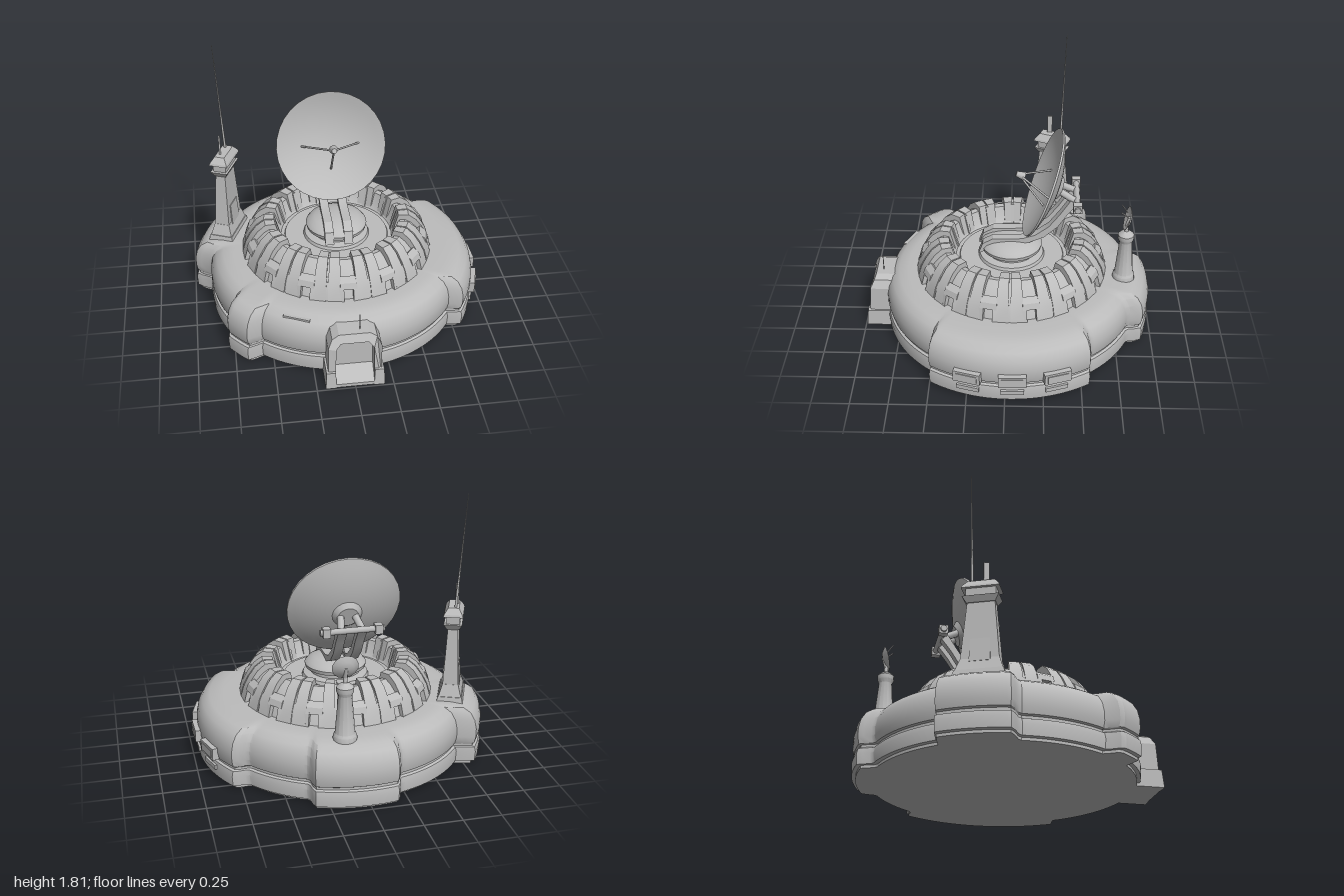
import * as THREE from 'three';
import { toCreasedNormals } from 'three/addons/utils/BufferGeometryUtils.js';

const grey = new THREE.MeshStandardMaterial({ color: 0xbcbcbc, side: THREE.DoubleSide });
grey.name = 'concrete grey';
const rad = THREE.MathUtils.degToRad;
const v2 = (pts) => pts.map(([x, y]) => new THREE.Vector2(x, y));

function add(parent, name, geometry, x = 0, y = 0, z = 0, ry = 0) {
  const m = new THREE.Mesh(geometry, grey);
  m.name = name;
  m.position.set(x, y, z);
  m.rotation.y = ry;
  parent.add(m);
  return m;
}

function addGroup(parent, name, x, y, z) {
  const g = new THREE.Group();
  g.name = name;
  g.position.set(x, y, z);
  parent.add(g);
  return g;
}

// Move every vertex of a geometry by a rule
function warp(geometry, rule) {
  const p = geometry.attributes.position, v = new THREE.Vector3();
  for (let i = 0; i < p.count; i++) {
    rule(v.fromBufferAttribute(p, i));
    p.setXYZ(i, v.x, v.y, v.z);
  }
  geometry.computeVertexNormals();
  return geometry;
}

// Box standing on y = 0 that narrows towards the top
function taperBox(w0, d0, w1, d1, h) {
  return toCreasedNormals(warp(new THREE.BoxGeometry(1, h, 1).translate(0, h / 2, 0), (v) => {
    const t = v.y / h;
    v.x *= w0 + (w1 - w0) * t;
    v.z *= d0 + (d1 - d0) * t;
  }), 0.5);
}

// Outline in the xy plane, extruded along z and centred
function slab(pts, depth) {
  return new THREE.ExtrudeGeometry(new THREE.Shape(v2(pts)), { depth, bevelEnabled: false })
    .translate(0, 0, -depth / 2);
}

function rod(parent, name, a, b, r0, r1 = r0) {
  const from = new THREE.Vector3(...a), to = new THREE.Vector3(...b);
  const dir = to.clone().sub(from);
  const m = add(parent, name, new THREE.CylinderGeometry(r1, r0, dir.length(), 8));
  m.position.copy(from).add(to).multiplyScalar(0.5);
  m.quaternion.setFromUnitVectors(new THREE.Vector3(0, 1, 0), dir.normalize());
}

const lathe = (pts, n, crease = 0.6) => toCreasedNormals(new THREE.LatheGeometry(v2(pts), n), crease);

// Outer ring: angle 0 is the front, 90 the model's left; bulges are [from, to, offset]
const bulges = [[55.5, 125, 0.085], [157, 192.5, 0.085], [234, 263, 0.118], [303.5, 318, 0.095]];
function bulgeAt(deg) {
  let o = 0;
  for (const [a, b, size] of bulges) {
    const t = Math.min(deg - a, b - deg) / 3 + 0.5;
    o = Math.max(o, size * THREE.MathUtils.clamp(t, 0, 1));
  }
  return o;
}

function buildRing(parent) {
  const g = addGroup(parent, 'ring', 0, 0, -0.028);
  const profile = [[0, 0], [0.85, 0], [0.85, 0.018], [0.875, 0.022], [0.88, 0.09], [0.872, 0.125], [0.855, 0.132],
    [0.855, 0.148], [0.868, 0.156], [0.878, 0.2], [0.878, 0.26], [0.865, 0.32], [0.835, 0.37],
    [0.785, 0.4], [0.72, 0.412], [0.62, 0.41], [0.6, 0.38]];
  const ring = warp(new THREE.LatheGeometry(v2(profile), 240), (v) => {
    const r = Math.hypot(v.x, v.z);
    if (r < 0.63) return;
    const deg = (THREE.MathUtils.radToDeg(Math.atan2(v.x, v.z)) + 360) % 360;
    const s = 1 + bulgeAt(deg) * THREE.MathUtils.clamp((r - 0.62) / 0.15, 0, 1) / r;
    v.x *= s;
    v.z *= s;
  });
  add(g, 'outerRing', toCreasedNormals(ring, 0.55));

  // Window boxes and vents on the left bulge
  for (const deg of [74, 91.2, 108.5]) {
    const a = rad(deg);
    for (const [name, w, h, d, y, r] of [['windowBox', 0.18, 0.08, 0.12, 0.193, 0.935],
      ['windowPane', 0.14, 0.05, 0.008, 0.193, 0.996], ['lowerVent', 0.15, 0.03, 0.05, 0.09, 0.95]]) {
      add(g, name, new THREE.BoxGeometry(w, h, d), Math.sin(a) * r, y, Math.cos(a) * r, a);
    }
  }
  // Access panel on the front right of the ring
  const pa = rad(-25);
  add(g, 'accessPanel', new THREE.BoxGeometry(0.18, 0.06, 0.04), Math.sin(pa) * 0.81, 0.355, Math.cos(pa) * 0.81, pa);
}

function buildDome(parent) {
  const g = addGroup(parent, 'dome', 0.007, 0, -0.026);
  // Recessed shell with the crater inside
  add(g, 'domeShell', lathe([[0.635, 0.4], [0.61, 0.47], [0.57, 0.54], [0.52, 0.59], [0.475, 0.615],
    [0.44, 0.61], [0.41, 0.53], [0.385, 0.5], [0.36, 0.5], [0.355, 0.51], [0, 0.51]], 56));
  const rib = [[0.658, 0.4], [0.632, 0.49], [0.6, 0.55], [0.555, 0.612], [0.5, 0.653], [0.43, 0.65], [0.39, 0.5], [0.5, 0.45]];
  const web = rib.map(([x, y]) => [x - 0.01, y - (y > 0.6 ? 0.012 : 0)]);
  const skirt = [[0.652, 0.4], [0.628, 0.49], [0.606, 0.53], [0.56, 0.5], [0.58, 0.4]];
  const lintel = [[0.635, 0.49], [0.62, 0.53], [0.58, 0.56], [0.52, 0.5]];
  const spread = (pts, w) => toCreasedNormals(warp(slab(pts, w), (v) => { v.z *= v.x / 0.62; }), 0.4);
  const n = 14;
  for (let i = 0; i < n; i++) {
    const at = (name, geo, off) => add(g, name, geo, 0, 0, 0, (i + off) * Math.PI * 2 / n - Math.PI / 2);
    at('domeRib', spread(rib, 0.082), 0.33);
    at('domeRib', spread(rib, 0.082), 0.67);
    at('domeRibWeb', spread(web, 0.03), 0.5);
    at('domeSkirt', spread(skirt, 0.22), 0.5);
    at('windowLintel', spread(lintel, 0.11), 0);
  }
  // Mushroom-shaped turntable in the crater
  add(g, 'turntable', lathe([[0.23, 0.505], [0.22, 0.53], [0.17, 0.54], [0.17, 0.565], [0.205, 0.575], [0.21, 0.6],
    [0.19, 0.625], [0.15, 0.645], [0.09, 0.66], [0, 0.665]], 32));
}

function buildMainDish(g) {
  // Two curved arms rising from the turntable
  const arm = [[0.2, 0.56], [0.17, 0.64], [0.1, 0.68], [0, 0.68], [-0.1, 0.685], [-0.19, 0.715], [-0.28, 0.785],
    [-0.35, 0.88], [-0.42, 0.99], [-0.47, 0.97], [-0.4, 0.88], [-0.34, 0.785], [-0.25, 0.7],
    [-0.15, 0.655], [0, 0.63], [0.12, 0.6]];
  for (const s of [-1, 1]) {
    add(g, 'curvedArm', toCreasedNormals(slab(arm, 0.06), 0.5), s * 0.065, 0, 0, -Math.PI / 2);
    rod(g, 'backBrace', [s * 0.07, 0.98, -0.45], [s * 0.05, 1.035, -0.355], 0.025);
    add(g, 'pivotBlock', new THREE.BoxGeometry(0.05, 0.06, 0.06), s * 0.17, 0.985, -0.465);
  }
  rod(g, 'pivotBar', [-0.21, 0.985, -0.465], [0.21, 0.985, -0.465], 0.022);

  // Bowl, opening along local +y and tilted to face forward and up
  const dish = addGroup(g, 'mainDish', 0, 1.08, -0.23);
  dish.rotation.x = 1.22;
  const R = 0.378, outer = [], inner = [];
  for (let i = 0; i <= 8; i++) {
    const r = R * i / 8, y = -0.095 * (1 - (i / 8) ** 2);
    outer.push([r, y - 0.014]);
    inner.unshift([r, y]);
  }
  add(dish, 'dishBowl', lathe([...outer, ...inner], 32));
  add(dish, 'dishHub', new THREE.CylinderGeometry(0.1, 0.07, 0.03, 16), 0, -0.118, 0);
  for (const [x, z] of [[-0.2, 0], [0.2, 0], [0, 0.17]]) {
    rod(dish, 'feedStrut', [x, -0.072, z], [0, 0.165, 0], 0.007);
  }
  add(dish, 'feedHorn', new THREE.CylinderGeometry(0.018, 0.03, 0.06, 10), 0, 0.155, 0);
}

function buildTower(g) {
  const t = addGroup(g, 'tower', -0.735, 0, -0.31);
  t.rotation.y = Math.atan2(-0.735, -0.31);
  add(t, 'towerFoot', taperBox(0.32, 0.18, 0.3, 0.16, 0.05), 0, 0.39, 0);
  add(t, 'towerFlare', taperBox(0.29, 0.15, 0.24, 0.105, 0.08), 0, 0.44, 0);
  add(t, 'towerShaft', taperBox(0.24, 0.105, 0.17, 0.065, 0.42), 0, 0.5, 0);
  add(t, 'towerPanel', taperBox(0.13, 0.122, 0.12, 0.1, 0.15), 0, 0.5, 0);
  add(t, 'towerEave', taperBox(0.18, 0.08, 0.23, 0.12, 0.04), 0, 0.9, 0);
  add(t, 'towerCab', taperBox(0.19, 0.09, 0.19, 0.09, 0.06), 0, 0.94, 0);
  add(t, 'towerCap', taperBox(0.24, 0.13, 0.23, 0.12, 0.015), 0, 0.995, 0);
  add(t, 'towerRoof', taperBox(0.23, 0.12, 0.17, 0.07, 0.04), 0, 1.01, 0);
  rod(g, 'tallAntenna', [-0.722, 1.04, -0.37], [-0.766, 1.81, -0.395], 0.009, 0.002);
  add(g, 'shortMast', new THREE.BoxGeometry(0.012, 0.15, 0.035), -0.76, 1.105, -0.29);
}

function buildRearTurret(g) {
  const t = addGroup(g, 'rearTurret', 0.13, 0, -0.8);
  add(t, 'turretColumn', lathe([[0.078, 0.39], [0.075, 0.435], [0.064, 0.45], [0.043, 0.7], [0.055, 0.725],
    [0.055, 0.755], [0.04, 0.77], [0.015, 0.785], [0.012, 0.83], [0, 0.83]], 14));
  const d = addGroup(t, 'smallDish', 0, 0.885, 0);
  d.rotation.x = 1.3;
  add(d, 'smallBowl', lathe([[0, -0.03], [0.05, -0.02], [0.085, 0], [0.05, -0.012], [0, -0.02]], 14));
  rod(d, 'smallFeed', [0, -0.02, 0], [0, 0.05, -0.03], 0.005);
  rod(t, 'smallDishStay', [0, 0.82, 0], [0, 0.89, -0.02], 0.014);
  rod(t, 'smallAerial', [0, 0.93, 0], [0, 0.99, 0.04], 0.004);
}

function buildEntrance(g) {
  // Porch with an open doorway, its top front edge sloping back
  const half = [[0.125, 0], [0.175, 0], [0.172, 0.3], [0.145, 0.355], [0.1, 0.378]];
  const inside = [[0.09, 0.325], [0.122, 0.29]];
  const mirror = (p) => p.map(([x, y]) => [-x, y]).reverse();
  const outline = [...half, ...mirror(half), ...mirror(inside), ...inside];
  const porch = warp(slab(outline, 0.3), (v) => {
    v.z += 0.82;
    if (v.z > 0.9) v.z -= Math.max(0, v.y - 0.27) * 0.5;
  });
  add(g, 'doorPorch', toCreasedNormals(porch, 0.4));
  add(g, 'doorPanel', new THREE.BoxGeometry(0.26, 0.33, 0.01), 0, 0.165, 0.885);
  for (const s of [-1, 1]) add(g, 'doorFoot', taperBox(0.07, 0.28, 0.06, 0.26, 0.12), s * 0.157, 0, 0.85);
  add(g, 'doorRamp', slab([[0.985, 0.0], [0.985, 0.025], [0.88, 0.12], [0.8, 0.12], [0.8, 0]], 0.25), 0, 0, 0, -Math.PI / 2);
  rod(g, 'doorAerial', [0.04, 0.36, 0.87], [0.04, 0.49, 0.87], 0.003);
}

export function createModel() {
  const g = new THREE.Group();
  g.name = 'radarStation';
  buildRing(g);
  buildDome(g);
  buildMainDish(g);
  buildTower(g);
  buildRearTurret(g);
  buildEntrance(g);
  return g;
}
